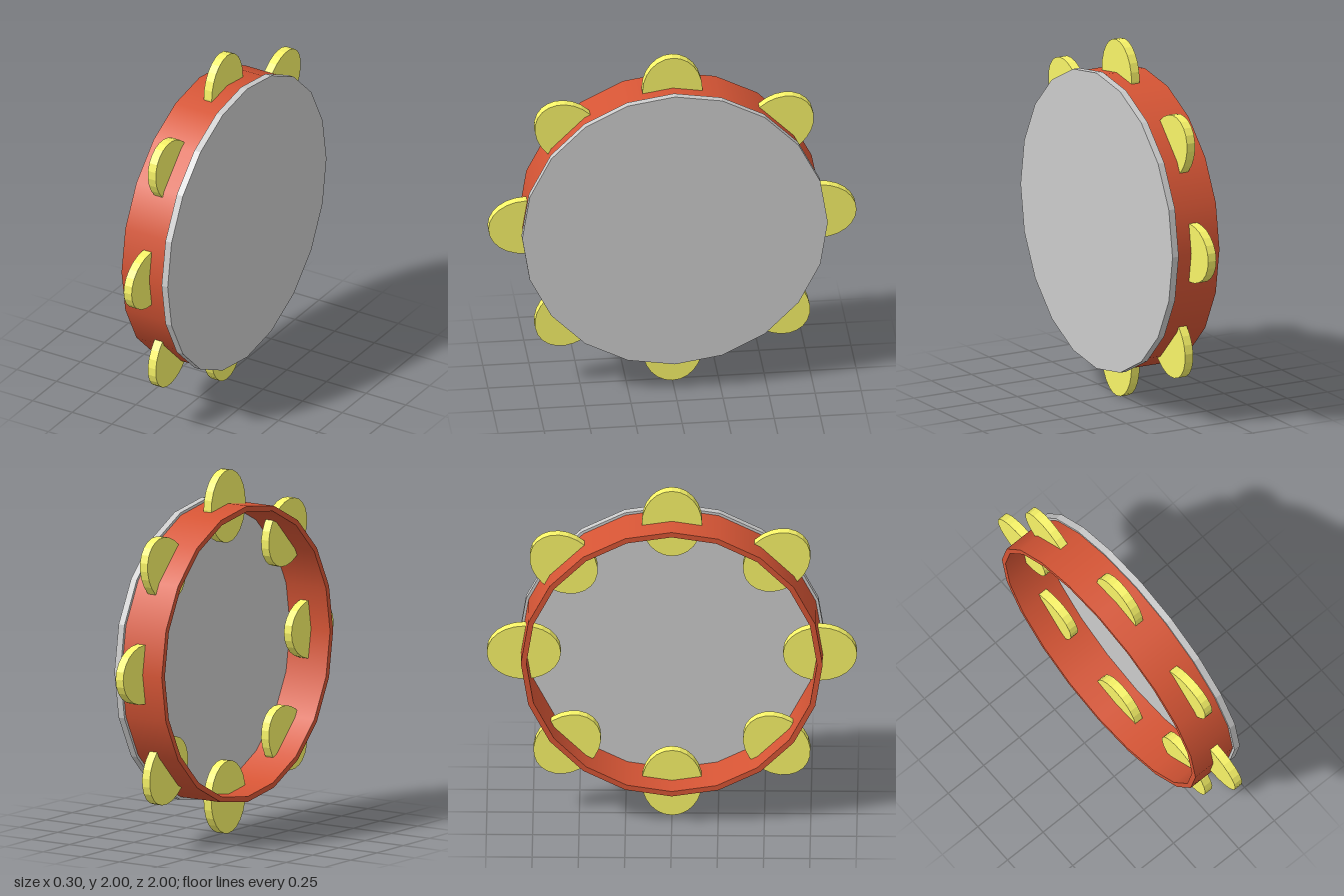
import * as THREE from 'three';
import { mergeGeometries } from 'three/addons/utils/BufferGeometryUtils.js';

const SIDES = 20;

function addMesh(parent, name, geometry, color, flatShading = false) {
  const mesh = new THREE.Mesh(geometry, new THREE.MeshStandardMaterial({ color, flatShading }));
  mesh.name = name;
  parent.add(mesh);
  return mesh;
}

// Thin-walled hoop along x: one smooth lathe per profile edge keeps the rims sharp
function hoopGeometry(outer, inner, x0, x1) {
  const profile = [[outer, x0], [outer, x1], [inner, x1], [inner, x0]];
  const walls = profile.map((p, i) => {
    const q = profile[(i + 1) % profile.length];
    return new THREE.LatheGeometry([new THREE.Vector2(...p), new THREE.Vector2(...q)], SIDES);
  });
  return mergeGeometries(walls).rotateZ(-Math.PI / 2);
}

export function createModel() {
  const group = new THREE.Group();
  group.name = 'tambourine';

  // Frame
  const hoop = addMesh(group, 'hoop', hoopGeometry(0.815, 0.785, -0.15, 0.112), 0xd65535);
  hoop.position.y = 1;

  // Drum skin closing the +x side
  const skinGeometry = new THREE.CylinderGeometry(0.83, 0.83, 0.038, SIDES).rotateZ(-Math.PI / 2);
  const skin = addMesh(group, 'drumSkin', skinGeometry, 0xcccccc, true);
  skin.position.set(0.131, 1, 0);

  // Oval jingles passing through the hoop wall
  const jingles = new THREE.Group();
  jingles.name = 'jingles';
  jingles.position.y = 1;
  group.add(jingles);
  const jingleGeometry = new THREE.CylinderGeometry(1, 1, 0.05, 24)
    .rotateZ(-Math.PI / 2)
    .scale(1, 0.2, 0.163)
    .translate(0, 0.8, 0);
  for (const degrees of [0, 45, 90, 135, 180, 225, 270, 313]) {
    const jingle = addMesh(jingles, 'jingle', jingleGeometry, 0xf8f468, true);
    jingle.rotation.x = THREE.MathUtils.degToRad(degrees);
  }

  return group;
}
